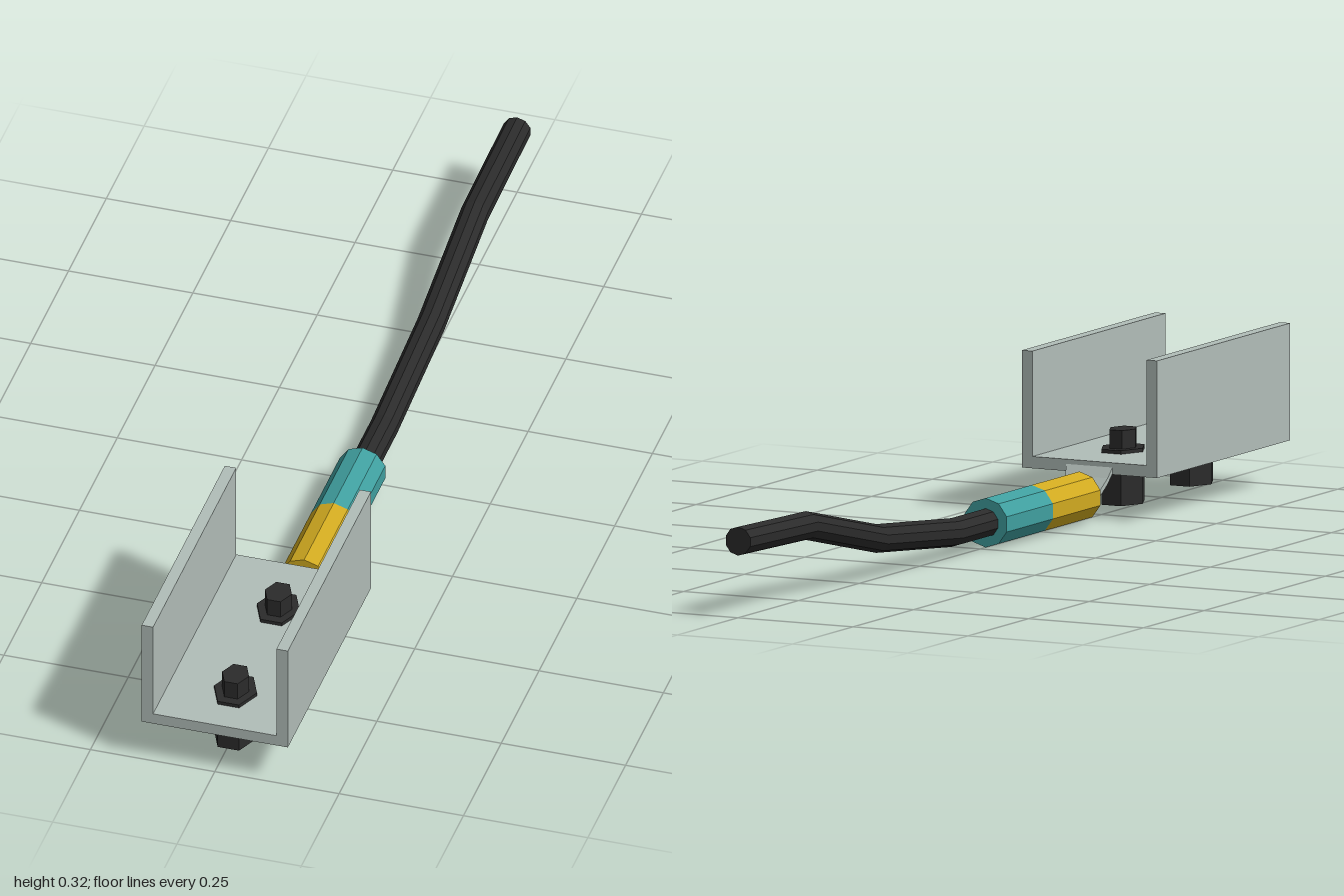
import * as THREE from 'three';

const mat = (name, color) => {
  const m = new THREE.MeshStandardMaterial({ color, flatShading: true });
  m.name = name;
  return m;
};

// Join equal-length rings of points into a closed, capped solid
function loft(rings) {
  const n = rings[0].length, pos = rings.flat(2), index = [];
  for (let r = 0; r < rings.length - 1; r++) {
    for (let i = 0; i < n; i++) {
      const a = r * n + i, b = r * n + (i + 1) % n;
      index.push(a, b, b + n, a, b + n, a + n);
    }
  }
  const last = (rings.length - 1) * n;
  for (let i = 1; i < n - 1; i++) {
    index.push(0, i + 1, i, last, last + i, last + i + 1);
  }
  const g = new THREE.BufferGeometry();
  g.setAttribute('position', new THREE.Float32BufferAttribute(pos, 3));
  g.setIndex(index);
  const flat = g.toNonIndexed();
  flat.computeVertexNormals();
  return flat;
}

export function createModel() {
  const steel = mat('pale grey steel', 0xb2beb9);
  const gold = mat('gold', 0xd2ab20);
  const teal = mat('teal', 0x40a0a0);
  const black = mat('black rubber', 0x2b2b2b);

  const model = new THREE.Group();
  const add = (name, geometry, material, parent = model) => {
    const mesh = new THREE.Mesh(geometry, material);
    mesh.name = name;
    parent.add(mesh);
    return mesh;
  };

  // U-shaped channel
  const w = 0.147, t = 0.023, y0 = 0.09, y1 = 0.318;
  const section = new THREE.Shape([
    [-w, y0], [w, y0], [w, y1], [w - t, y1],
    [w - t, y0 + t], [t - w, y0 + t], [t - w, y1], [-w, y1],
  ].map(([x, y]) => new THREE.Vector2(x, y)));
  const channel = new THREE.ExtrudeGeometry(section, { depth: 0.55, bevelEnabled: false });
  add('channel', channel.translate(0, 0, 0.45), steel);

  // Bolts: hex head below, thin washer and hex stud above
  const hex = (radius, bottom, top) => new THREE.CylinderGeometry(radius, radius, top - bottom, 6)
    .rotateY(Math.PI / 6)
    .scale(1, 1, 1.3)
    .translate(0, (top + bottom) / 2, 0);
  for (const [name, z] of [['frontBolt', 0.885], ['rearBolt', 0.602]]) {
    const bolt = new THREE.Group();
    bolt.name = name;
    bolt.position.set(0.007, 0, z);
    add('boltHead', hex(0.043, 0.012, 0.09), black, bolt);
    add('boltWasher', hex(0.043, 0.112, 0.12), black, bolt);
    add('boltStud', hex(0.027, 0.119, 0.156), black, bolt);
    // Hex corners point sideways
    bolt.children.forEach((m) => m.geometry.computeVertexNormals());
    model.add(bolt);
  }

  // Tapered bent tab between channel and sleeve: [z, y, half width]
  const tab = [[0.455, 0.106, 0.052], [0.438, 0.078, 0.046], [0.422, 0.056, 0.038], [0.40, 0.049, 0.035]];
  add('connectingTab', loft(tab.map(([z, y, h]) => [
    [-h, y - 0.006, z], [-h, y + 0.006, z], [h, y + 0.006, z], [h, y - 0.006, z],
  ])), steel);

  // Two-colour ten-sided sleeve
  const sleeve = (name, from, to, material) => add(name,
    new THREE.CylinderGeometry(0.048, 0.048, to - from, 10)
      .rotateX(Math.PI / 2)
      .translate(0, 0.05, (from + to) / 2), material);
  sleeve('goldSleeve', 0.213, 0.409, gold);
  sleeve('tealSleeve', 0.022, 0.213, teal);

  // Bent cable: [z, y] of each kink
  const path = [[0.05, 0.05], [-0.12, 0.05], [-0.43, 0.08], [-0.72, 0.144], [-1, 0.151]];
  add('cable', loft(path.map(([z, y]) => Array.from({ length: 10 }, (_, i) => {
    const a = -i * Math.PI / 5;
    return [0.028 * Math.sin(a), y + 0.028 * Math.cos(a), z];
  }).reverse())), black);

  return model;
}
